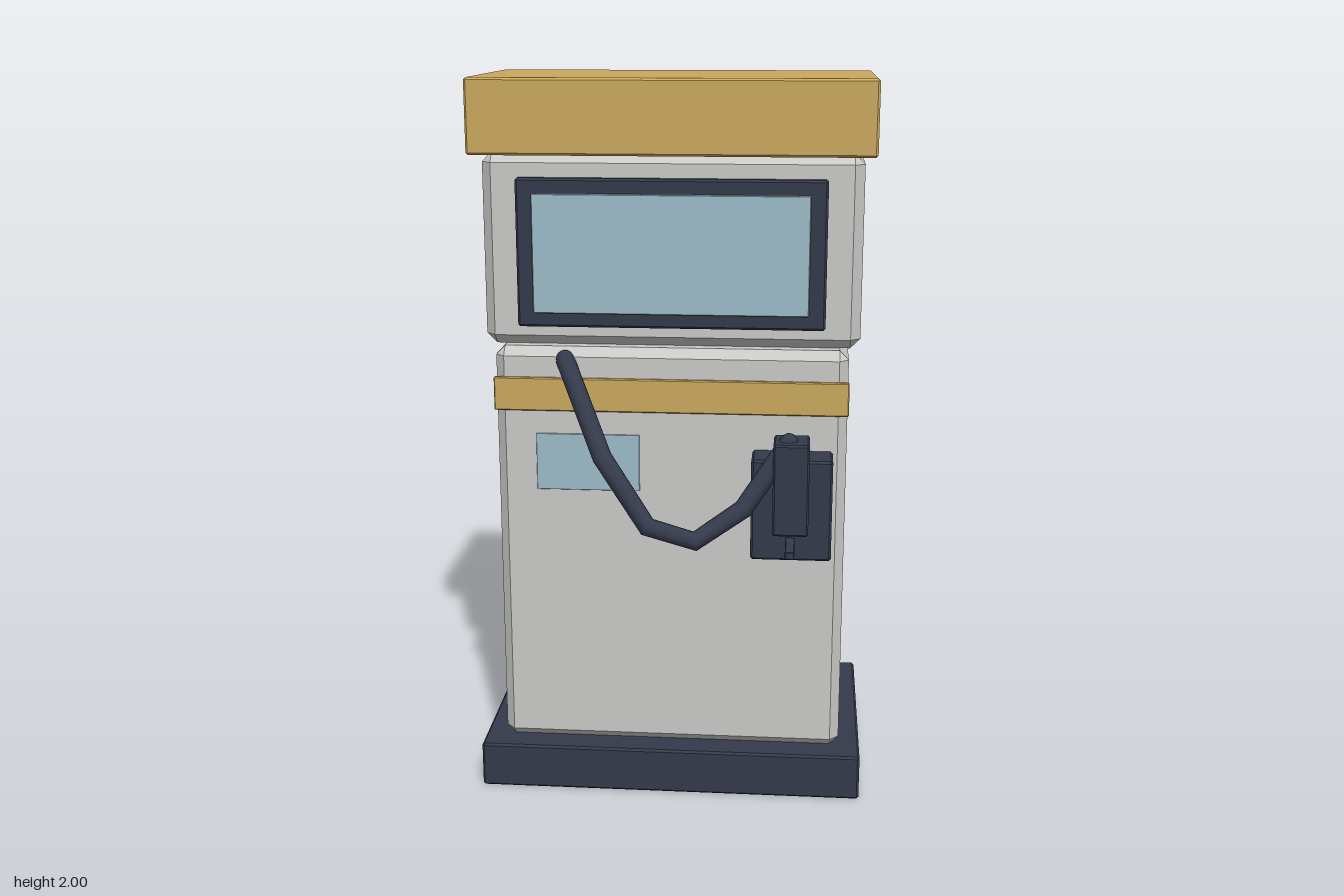
import * as THREE from 'three';
import { ConvexGeometry } from 'three/addons/geometries/ConvexGeometry.js';

const material = (name, color) => {
  const m = new THREE.MeshStandardMaterial({ color });
  m.name = name;
  return m;
};

// Box given by its limits, with every edge chamfered by c
function chamferBox([x0, x1], [y0, y1], [z0, z1], c) {
  const half = [(x1 - x0) / 2, (y1 - y0) / 2, (z1 - z0) / 2];
  const points = [];
  for (const sx of [-1, 1]) for (const sy of [-1, 1]) for (const sz of [-1, 1]) {
    const signs = [sx, sy, sz];
    for (let face = 0; face < 3; face++) {
      const p = half.map((h, axis) => signs[axis] * (axis === face ? h : h - c));
      points.push(new THREE.Vector3(...p));
    }
  }
  return new ConvexGeometry(points).translate((x0 + x1) / 2, (y0 + y1) / 2, (z0 + z1) / 2);
}

export function createModel() {
  const model = new THREE.Group();
  model.name = 'fuelPump';

  const grey = material('light grey panel', 0xc9c9c7);
  const gold = material('ochre trim', 0xcaa95d);
  const navy = material('dark navy', 0x343a4b);
  const glass = material('pale blue glass', 0x9dbcc9);

  const add = (parent, name, geometry, mat) => {
    const mesh = new THREE.Mesh(geometry, mat);
    mesh.name = name;
    parent.add(mesh);
    return mesh;
  };
  const box = (parent, name, mat, x, y, z, c) => add(parent, name, chamferBox(x, y, z, c), mat);

  // Cabinet stack
  box(model, 'base', navy, [-0.54, 0.54], [0, 0.13], [-0.335, 0.335], 0.006);
  box(model, 'body', grey, [-0.48, 0.48], [0.13, 1.285], [-0.277, 0.277], 0.025);
  box(model, 'head', grey, [-0.51, 0.51], [1.285, 1.805], [-0.245, 0.245], 0.027);
  box(model, 'canopy', gold, [-0.54, 0.54], [1.8, 2], [-0.286, 0.286], 0.006);

  // Matching service fittings on the front and the back
  for (const s of [1, -1]) {
    const side = new THREE.Group();
    side.name = s > 0 ? 'frontFittings' : 'backFittings';
    model.add(side);
    const depth = (a, b) => (s > 0 ? [a, b] : [-b, -a]);

    // Display
    box(side, 'displayFrame', navy, [-0.415, 0.415], [1.34, 1.74], depth(0.24, 0.268), 0.006);
    box(side, 'displayGlass', glass, [-0.37, 0.37], [1.38, 1.7], depth(0.262, 0.281), 0.002);

    // Trim and notice plate
    box(side, 'trimBand', gold, [-0.483, 0.483], [1.11, 1.203], depth(0.27, 0.287), 0.003);
    box(side, 'noticePlate', glass, [-0.37, -0.085], [0.885, 1.045], depth(0.274, 0.281), 0.001);

    // Holster, nozzle and lever
    box(side, 'holster', navy, [0.225, 0.443], [0.73, 1.01], depth(0.27, 0.38), 0.006);
    box(side, 'nozzle', navy, [0.285, 0.38], [0.825, 1.075], depth(0.35, 0.46), 0.005);
    box(side, 'lever', navy, [0.32, 0.345], [0.78, 0.8], depth(0.39, 0.512), 0.002);

    // Hose sagging from the cabinet to the nozzle
    const path = [
      [-0.287, 1.253, 0.273], [-0.165, 1.03, 0.453], [-0.04, 0.862, 0.516],
      [0.085, 0.826, 0.516], [0.208, 0.898, 0.455], [0.325, 1.07, 0.41],
    ].map(([x, y, z]) => new THREE.Vector3(x, y, z * s));
    const curve = new THREE.CatmullRomCurve3(path);
    curve.getPointAt = curve.getPoint; // rings fall on the bends
    curve.getTangentAt = curve.getTangent;
    add(side, 'hose', new THREE.TubeGeometry(curve, path.length - 1, 0.026, 12), navy);
    for (const end of [path[0], path[path.length - 1]]) {
      add(side, 'hoseEnd', new THREE.SphereGeometry(0.025, 12, 8), navy).position.copy(end);
    }
  }
  return model;
}
